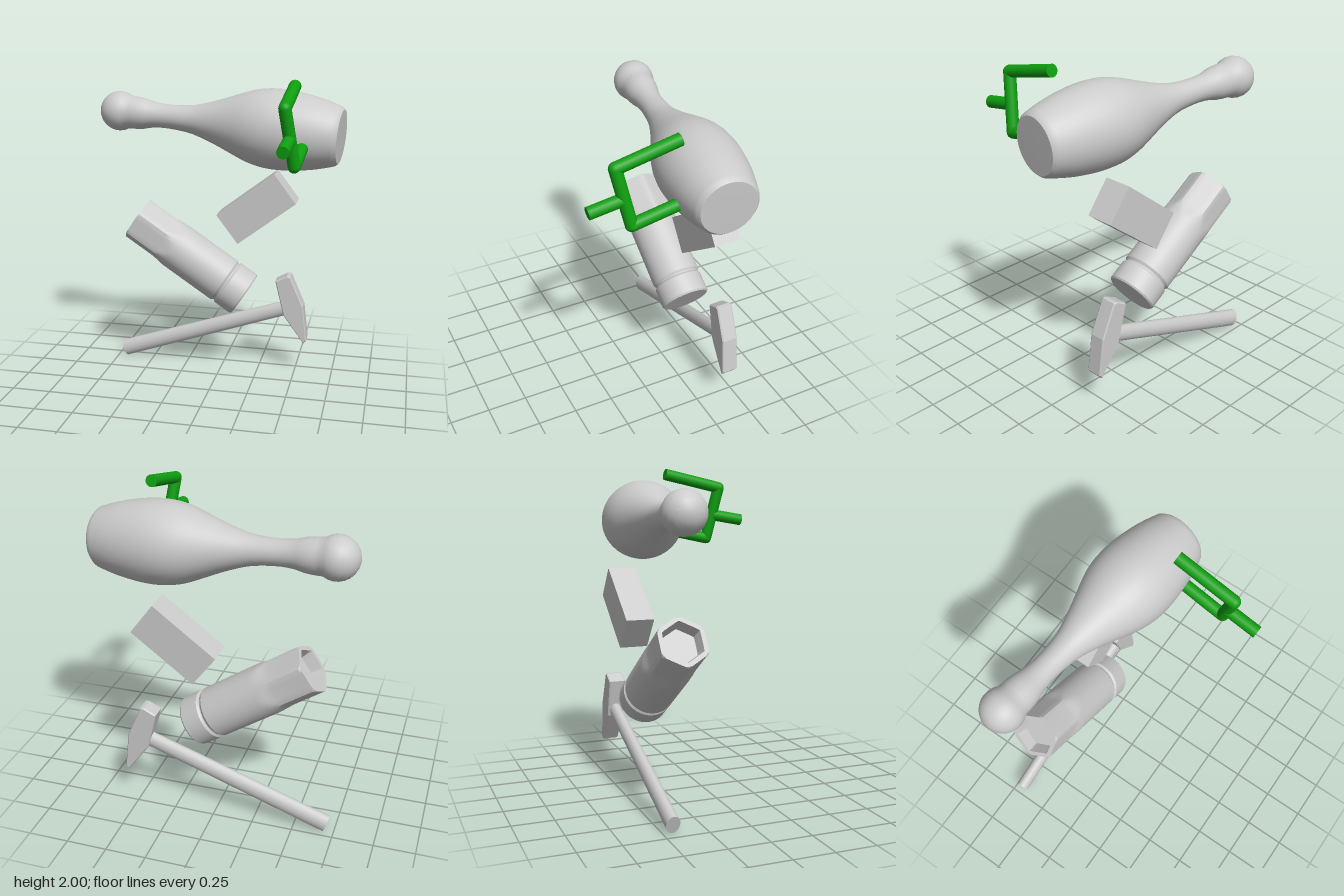
import * as THREE from 'three';
import { toCreasedNormals } from 'three/addons/utils/BufferGeometryUtils.js';

const grey = new THREE.MeshStandardMaterial({ color: 0xcccccc });
const green = new THREE.MeshStandardMaterial({ color: 0x0fa010 });
const UP = new THREE.Vector3(0, 1, 0);
const v3 = (a) => new THREE.Vector3(...a);

function add(group, name, geometry, material = grey) {
  const mesh = new THREE.Mesh(geometry, material);
  mesh.name = name;
  group.add(mesh);
  return mesh;
}

// Moves a mesh built along +y so that it starts at "from" and points to "to"
function aim(mesh, from, to) {
  mesh.position.copy(v3(from));
  mesh.quaternion.setFromUnitVectors(UP, v3(to).sub(v3(from)).normalize());
  return mesh;
}

// Straight rod between two points, optionally tapered and oval
function rod(group, name, from, to, r0, r1, sides, material, oval = 1) {
  const length = v3(from).distanceTo(v3(to));
  const g = new THREE.CylinderGeometry(r1, r0, length, sides);
  g.translate(0, length / 2, 0).scale(1, 1, oval);
  return aim(add(group, name, g, material), from, to);
}

// Turned skittle: round head, thin neck, full belly, flat foot
function skittle(group) {
  const pts = [];
  for (let i = 0; i <= 9; i++) {
    const a = (i / 9) * 2.15;
    pts.push([0.127 * Math.sin(a), -0.127 * Math.cos(a)]);
  }
  const body = [[0.1, 0.16], [0.082, 0.24], [0.076, 0.34], [0.087, 0.48], [0.112, 0.58],
    [0.146, 0.68], [0.185, 0.78], [0.222, 0.88], [0.242, 0.97], [0.248, 1.06],
    [0.242, 1.16], [0.224, 1.28], [0.202, 1.37], [0.182, 1.435]];
  const curve = new THREE.SplineCurve([pts[9], ...body].map((p) => new THREE.Vector2(...p)));
  const profile = [...pts.map((p) => new THREE.Vector2(...p)), ...curve.getPoints(36).slice(1),
    new THREE.Vector2(0.165, 1.453), new THREE.Vector2(0, 1.455)];
  profile[0].x = 0;
  const g = toCreasedNormals(new THREE.LatheGeometry(profile, 36), 0.5);
  aim(add(group, 'skittle', g), [-0.67, 1.745, -0.365], [0.77, 1.65, -0.21]);
}

// Socket: cylinder with six flats and a hexagonal recess at one end, grooved collar at the other
function socket(group) {
  const R = 0.156;
  const profile = [[0, 0.07], [0.11, 0.07], [0.128, 0], [0.15, 0], [R, 0.012], [R, 0.1], [R, 0.22],
    [R, 0.25], [R, 0.28], [R, 0.31], [R, 0.35], [R, 0.7], [0.145, 0.716], [0.145, 0.722],
    [R, 0.735], [R, 0.855], [0.148, 0.865], [0, 0.865]];
  const g = new THREE.LatheGeometry(profile.map((p) => new THREE.Vector2(...p)), 48);
  const pos = g.attributes.position;
  for (let i = 0; i < pos.count; i++) {
    const x = pos.getX(i), y = pos.getY(i), z = pos.getZ(i), r = Math.hypot(x, z);
    if (y > 0.33 || r < 1e-4) continue;
    const sector = Math.PI / 3, a = Math.atan2(x, z);
    const local = a - Math.round(a / sector) * sector;
    // The flats run out into the cylinder towards the middle
    const flat = r < 0.14 ? r * 0.88 : 0.139 + 0.017 * THREE.MathUtils.smoothstep(y, 0.22, 0.33);
    const k = Math.min(r, flat / Math.cos(local)) / r;
    pos.setXYZ(i, x * k, y, z * k);
  }
  aim(add(group, 'socket', toCreasedNormals(g, 0.4)), [-0.555, 1.04, -0.33], [0.165, 0.56, -0.33]);
}

// Hammer: oval handle and a wedge shaped head
function hammer(group) {
  const h = new THREE.Group();
  h.name = 'hammer';
  rod(h, 'hammerHandle', [-0.703, 0.058, -0.448], [0.47, 0.462, -0.438], 0.057, 0.05, 16, grey, 0.72);
  const outline = [[0.37, 0.642], [0.407, 0.492], [0.428, 0.41], [0.56, 0.227], [0.573, 0.245],
    [0.545, 0.477], [0.457, 0.677], [0.44, 0.678]];
  const shape = new THREE.Shape(outline.map((p) => new THREE.Vector2(...p)));
  const g = new THREE.ExtrudeGeometry(shape, {
    depth: 0.088, bevelThickness: 0.008, bevelSize: 0.006, bevelSegments: 1,
  });
  add(h, 'hammerHead', g).position.z = -0.48;
  group.add(h);
}

// Branching pipe bracket that runs into the skittle
function bracket(group) {
  const b = new THREE.Group();
  b.name = 'bracket';
  const r = 0.037;
  const top = [0.496, 1.88, 0.32], low = [0.547, 1.545, 0.25], mid = [0.52, 1.7, 0.285];
  const rods = [
    ['upperArm', top, [0.503, 1.965, -0.055]],
    ['upright', top, low],
    ['lowerArm', low, [0.56, 1.627, -0.13]],
    ['stub', mid, [0.513, 1.665, 0.488]],
  ];
  for (const [name, from, to] of rods) rod(b, name, from, to, r, r, 16, green);
  for (const p of [top, low]) {
    add(b, 'elbow', new THREE.SphereGeometry(r, 16, 10), green).position.copy(v3(p));
  }
  group.add(b);
}

export function createModel() {
  const group = new THREE.Group();
  group.name = 'floatingTools';
  skittle(group);
  bracket(group);
  // Plain block, tilted
  const block = add(group, 'block', new THREE.BoxGeometry(0.47, 0.234, 0.174));
  block.position.set(0.236, 1.143, -0.402);
  block.rotation.z = 0.651;
  socket(group);
  hammer(group);
  return group;
}
